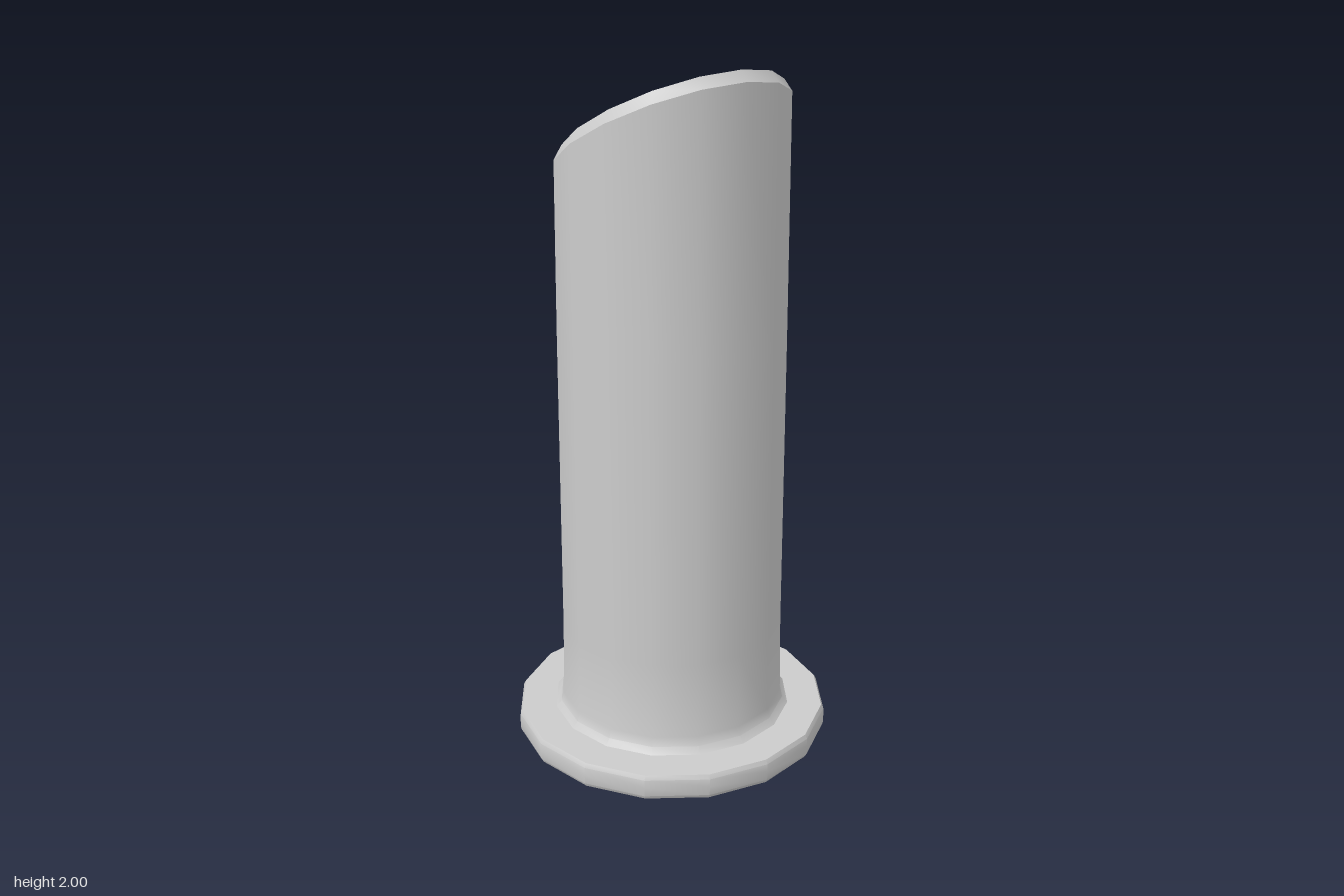
import * as THREE from 'three';
import { toCreasedNormals } from 'three/addons/utils/BufferGeometryUtils.js';

const SIDES = 16;

// Turned part from [radius, height, slope] rings; slope tilts a ring along x.
function turnedPart(name, rings, material) {
  const points = rings.map(([r, y]) => new THREE.Vector2(r, y));
  const geometry = new THREE.LatheGeometry(points, SIDES);
  const pos = geometry.attributes.position;
  for (let i = 0; i < pos.count; i++) {
    const slope = rings[i % rings.length][2] || 0;
    pos.setY(i, pos.getY(i) + slope * pos.getX(i));
  }
  const mesh = new THREE.Mesh(toCreasedNormals(geometry, 0.52), material);
  mesh.name = name;
  return mesh;
}

export function createModel() {
  const group = new THREE.Group();
  group.name = 'slantedPost';
  const material = new THREE.MeshStandardMaterial({ color: 0xcccccc });

  // Flat disc foot with softened rim
  group.add(turnedPart('baseFlange', [
    [0, 0], [0.464, 0], [0.471, 0.012], [0.472, 0.04],
    [0.471, 0.063], [0.464, 0.075], [0, 0.075],
  ], material));

  // Post with a flared foot, slanted cut and bevelled top edge
  group.add(turnedPart('post', [
    [0.36, 0.075], [0.344, 0.093], [0.336, 0.12], [0.332, 0.35],
    [0.329, 1.25], [0.325, 1.805, 0.51],
    [0.303, 1.842, 0.52], [0, 1.842],
  ], material));

  return group;
}
